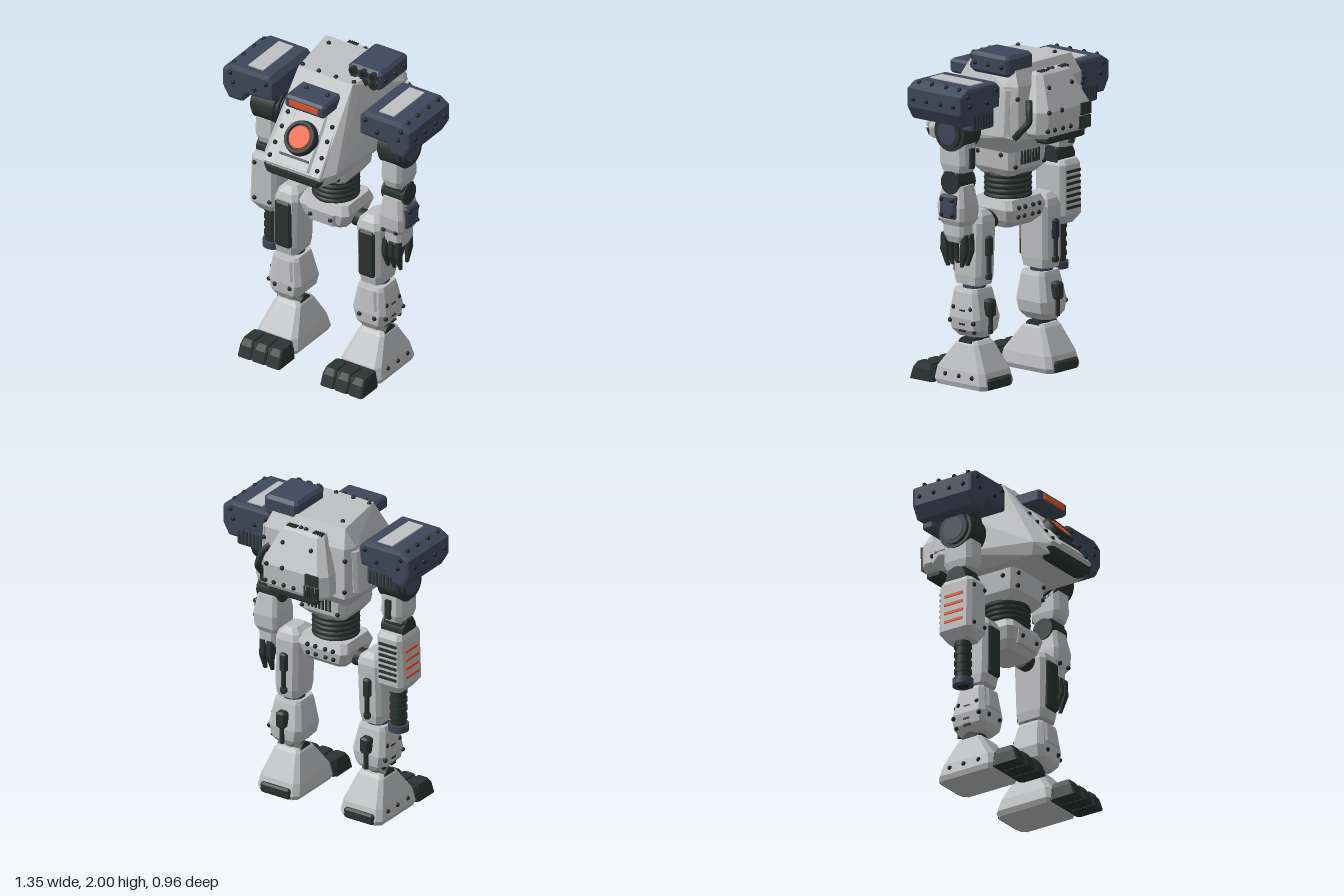
import * as THREE from 'three';
import { ConvexGeometry } from 'three/addons/geometries/ConvexGeometry.js';

const paint = (name, color) => {
  const m = new THREE.MeshStandardMaterial({ color });
  m.name = name;
  return m;
};

export function createModel() {
  const light = paint('lightGreyArmour', 0xbfc0c2), slate = paint('slateBlueArmour', 0x3e485b);
  const dark = paint('darkRubber', 0x2a3331), orange = paint('orangeGlow', 0xe6562a);
  const black = paint('blackRivet', 0x1f2426);
  const root = new THREE.Group();
  root.name = 'walker';

  const group = (name, parent = root) => {
    const g = new THREE.Group();
    g.name = name;
    parent.add(g);
    return g;
  };
  const add = (parent, geo, mat, name, x = 0, y = 0, z = 0) => {
    const m = new THREE.Mesh(geo, mat);
    m.name = name;
    m.position.set(x, y, z);
    parent.add(m);
    return m;
  };
  // faceted solid through chamfered rectangles [y, x0, x1, z0, z1, chamfer]; s mirrors x
  const solid = (parent, mat, name, s, ...sections) => {
    const pts = [];
    for (const [y, x0, x1, z0, z1, c = 0.02] of sections)
      for (const [x, dx] of [[x0, c], [x1, -c]])
        for (const [z, dz] of [[z0, c], [z1, -c]])
          pts.push(new THREE.Vector3(s * (x + dx), y, z), new THREE.Vector3(s * x, y, z + dz));
    return add(parent, new ConvexGeometry(pts), mat, name);
  };
  // box with all edges chamfered
  const block = (parent, mat, name, s, x0, x1, y0, y1, z0, z1, c = 0.02) =>
    solid(parent, mat, name, s, [y0, x0 + c, x1 - c, z0 + c, z1 - c, c * 0.5], [y0 + c, x0, x1, z0, z1, c],
      [y1 - c, x0, x1, z0, z1, c], [y1, x0 + c, x1 - c, z0 + c, z1 - c, c * 0.5]);
  const box = (parent, mat, name, w, h, d, x, y, z) => add(parent, new THREE.BoxGeometry(w, h, d), mat, name, x, y, z);
  const cyl = (parent, mat, name, r0, r1, h, x, y, z, axis = 'y') => {
    const m = add(parent, new THREE.CylinderGeometry(r0, r1, h, 28), mat, name, x, y, z);
    if (axis === 'x') m.rotation.z = Math.PI / 2;
    if (axis === 'z') m.rotation.x = Math.PI / 2;
    return m;
  };
  const rivetGeo = new THREE.SphereGeometry(0.014, 10, 8);
  const rivets = (parent, s, ...list) => list.forEach(([x, y, z]) => add(parent, rivetGeo, black, 'rivet', s * x, y, z));
  const slats = (parent, mat, name, n, size, start, step) => {
    for (let i = 0; i < n; i++) box(parent, mat, name, ...size, ...start.map((v, k) => v + i * step[k]));
  };
  const both = (f) => [1, -1].forEach(f);

  // Torso hull
  const torso = group('torso');
  const hull = [[0.25, 1.93, -0.27], [0.19, 1.93, 0.11], [0.28, 1.82, -0.325], [0.315, 1.82, -0.25],
    [0.16, 1.85, 0.13], [0.22, 1.84, 0.1], [0.335, 1.52, -0.25], [0.285, 1.5, -0.33], [0.25, 1.47, 0.37],
    [0.19, 1.46, 0.455], [0.19, 1.4, 0.44], [0.23, 1.4, 0.34], [0.23, 1.4, -0.22]];
  add(torso, new ConvexGeometry(hull.flatMap(([x, y, z]) => [new THREE.Vector3(x, y, z), new THREE.Vector3(-x, y, z)])), light, 'torsoHull');
  solid(torso, dark, 'chinLip', 1, [1.385, -0.17, 0.17, 0.38, 0.45], [1.405, -0.19, 0.19, 0.37, 0.47], [1.44, -0.205, 0.205, 0.38, 0.472]);
  both((s) => {
    solid(torso, light, 'sidePanel', s, [1.54, 0.3, 0.345, -0.29, -0.18], [1.8, 0.29, 0.33, -0.29, -0.22]);
    rivets(torso, s, [0.185, 1.932, -0.2], [0.18, 1.932, 0.08], [0.19, 1.845, 0.13], [0.06, 1.932, 0.09], [0.285, 1.75, -0.325], [0.285, 1.55, -0.33]);
  });

  // Sloping chest panel with lens
  const chest = group('chestPanel', torso);
  chest.position.set(0, 1.61, 0.33);
  chest.rotation.x = -0.6945;
  solid(chest, light, 'chestPlate', 1, [-0.195, -0.2, 0.2, -0.01, 0.018, 0.008], [0.19, -0.18, 0.18, -0.01, 0.018, 0.008]);
  solid(chest, light, 'innerPlate', 1, [-0.185, -0.12, 0.12, 0, 0.032, 0.012], [0.18, -0.105, 0.105, 0, 0.032, 0.012]);
  both((s) => rivets(chest, s, ...[0.117, 0.026, -0.075, -0.155].map((v) => [0.16 - v * 0.04, v, 0.02])));
  cyl(chest, dark, 'lensHousing', 0.1, 0.11, 0.04, 0, -0.005, 0.04, 'z');
  add(chest, new THREE.TorusGeometry(0.088, 0.014, 8, 32), dark, 'lensRim', 0, -0.005, 0.06);
  cyl(chest, orange, 'lens', 0.066, 0.072, 0.012, 0, -0.005, 0.064, 'z');
  box(chest, dark, 'lensSill', 0.2, 0.014, 0.02, 0, -0.125, 0.035);

  // Visor box
  block(torso, slate, 'visor', 1, -0.14, 0.14, 1.785, 1.87, 0.1, 0.335, 0.015);
  box(torso, orange, 'visorSlit', 0.2, 0.036, 0.009, 0, 1.83, 0.337);
  rivets(torso, 1, [0.08, 1.87, 0.205], [-0.07, 1.87, 0.205]);

  // Rocket launcher on the left of the roof
  const launcher = group('launcher');
  block(launcher, slate, 'launcherBox', 1, 0.087, 0.325, 1.875, 2, -0.28, 0.015);
  for (const x of [0.135, 0.205, 0.275])
    for (const y of [1.965, 1.91]) {
      cyl(launcher, dark, 'launchTube', 0.029, 0.029, 0.03, x, y, 0.012, 'z');
      cyl(launcher, black, 'launchBore', 0.019, 0.019, 0.004, x, y, 0.029, 'z');
    }
  rivets(launcher, 1, [0.325, 1.935, -0.03], [0.325, 1.935, -0.13], [0.325, 1.935, -0.235]);

  // Backpack
  const pack = group('backpack');
  solid(pack, light, 'backpackShell', 1, [1.51, -0.2, 0.2, -0.45, -0.3, 0.03], [1.54, -0.24, 0.23, -0.465, -0.3, 0.05],
    [1.67, -0.235, 0.225, -0.47, -0.3, 0.05], [1.87, -0.15, 0.14, -0.37, -0.28, 0.03], [1.885, -0.14, 0.13, -0.35, -0.28, 0.02]);
  block(pack, dark, 'exhaust', 1, -0.17, 0.17, 1.475, 1.53, -0.455, -0.35, 0.012);
  slats(pack, dark, 'topVent', 5, [0.009, 0.014, 0.035], [-0.135, 1.885, -0.335], [0.014, 0, 0]);
  slats(pack, dark, 'topVent', 5, [0.009, 0.014, 0.035], [0.05, 1.885, -0.335], [0.014, 0, 0]);
  box(pack, dark, 'hatch', 0.09, 0.07, 0.012, -0.15, 1.645, -0.472);
  slats(pack, dark, 'rearVent', 7, [0.009, 0.075, 0.014], [-0.19, 1.565, -0.467], [0.015, 0, 0]);
  rivets(pack, 1, [-0.015, 1.885, -0.33], [0.02, 1.885, -0.33], ...[-0.02, 0.05, 0.12, 0.18].map((x) => [x, 1.56, -0.467]),
    ...[0.06, 0.17].map((x) => [x, 1.67, -0.47]), [0.1, 1.8, -0.405], [-0.1, 1.8, -0.405]);
  const hose = new THREE.CatmullRomCurve3([[0.22, 1.73, -0.355], [0.255, 1.69, -0.385], [0.275, 1.62, -0.4], [0.3, 1.57, -0.365], [0.305, 1.52, -0.32]]
    .map((p) => new THREE.Vector3(...p)));
  add(pack, new THREE.TubeGeometry(hose, 24, 0.02, 10), dark, 'hose');

  // Waist, bellows and pelvis
  const waist = group('waist');
  solid(waist, light, 'abdomen', 1, [1.225, -0.125, 0.125, -0.12, 0.12, 0.03], [1.27, -0.155, 0.155, -0.165, 0.165, 0.03], [1.41, -0.168, 0.168, -0.175, 0.175, 0.03]);
  cyl(waist, dark, 'bellowsCore', 0.125, 0.125, 0.2, 0, 1.15, 0);
  for (let i = 0; i < 5; i++) {
    const ring = add(waist, new THREE.TorusGeometry(0.125, 0.017, 8, 36), dark, 'bellowsRing', 0, 1.09 + i * 0.032, 0);
    ring.rotation.x = Math.PI / 2;
  }
  slats(waist, dark, 'abdomenVent', 7, [0.012, 0.08, 0.016], [-0.075, 1.34, -0.17], [0.025, 0, 0]);
  solid(waist, light, 'pelvis', 1, [0.915, -0.12, 0.12, -0.1, 0.1, 0.03], [0.96, -0.15, 0.15, -0.15, 0.14, 0.03],
    [1.03, -0.175, 0.175, -0.165, 0.155, 0.03], [1.085, -0.155, 0.155, -0.14, 0.13, 0.03]);
  solid(waist, light, 'pelvisPlate', 1, [0.945, -0.09, 0.09, 0.1, 0.155, 0.01], [1.03, -0.1, 0.1, 0.1, 0.17, 0.01]);
  both((s) => {
    cyl(waist, dark, 'hipJoint', 0.056, 0.056, 0.13, s * 0.21, 0.965, 0, 'x');
    rivets(waist, s, [0.125, 1.37, 0.173], [0.125, 1.29, 0.168], [0.165, 1.36, 0.09], [0.165, 1.36, -0.09], [0.07, 0.99, 0.164],
      [0.125, 1.29, -0.168], [0.09, 1.04, -0.164], [0.09, 0.985, -0.158], [0.035, 1.04, -0.164], [0.035, 0.985, -0.158]);
  });

  both((s) => {
    const side = s > 0 ? 'left' : 'right';
    // Shoulder pod
    const pod = group(side + 'ShoulderPod');
    const profile = [[0.325, 1.71], [0.325, 1.805], [0.345, 1.825], [0.59, 1.825], [0.64, 1.795], [0.64, 1.7], [0.605, 1.64], [0.535, 1.64], [0.5, 1.7]];
    const shape = new THREE.Shape(profile.map(([x, y]) => new THREE.Vector2(s * x, y)));
    const podGeo = new THREE.ExtrudeGeometry(shape, { depth: 0.38, bevelSize: 0.02, bevelThickness: 0.022, bevelSegments: 2 });
    add(pod, podGeo, slate, 'podShell', 0, 0, -0.19);
    box(pod, light, 'podTopPlate', 0.105, 0.009, 0.32, s * 0.46, 1.847, -0.005);
    block(pod, slate, 'podRearVent', s, 0.36, 0.56, 1.58, 1.74, -0.21, -0.13, 0.01);
    slats(pod, dark, 'podVentSlat', 7, [0.012, 0.08, 0.012], [s * 0.385, 1.635, -0.209], [s * 0.025, 0, 0]);
    for (const z of [-0.155, -0.055, 0.055, 0.155]) rivets(pod, s, [0.61, 1.838, z], [0.66, 1.745, z]);
    for (const z of [-0.212, 0.212]) rivets(pod, s, [0.35, 1.8, z], [0.43, 1.74, z], [0.58, 1.74, z], [0.6, 1.8, z]);

    // Shoulder joint, upper arm and elbow
    const arm = group(side + 'Arm');
    solid(arm, dark, 'shoulderMount', s, [1.5, 0.355, 0.53, -0.09, 0.09], [1.62, 0.355, 0.53, -0.09, 0.09], [1.72, 0.38, 0.5, -0.08, 0.08]);
    cyl(arm, dark, 'shoulderJoint', 0.115, 0.115, 0.15, s * 0.445, 1.545, 0, 'x');
    cyl(arm, dark, 'shoulderRim', 0.095, 0.095, 0.19, s * 0.445, 1.545, 0, 'x');
    cyl(arm, slate, 'shoulderCap', 0.07, 0.07, 0.2, s * 0.445, 1.545, 0, 'x');
    solid(arm, light, 'upperArm', s, [1.305, 0.38, 0.505, -0.085, 0.085, 0.025], [1.35, 0.37, 0.515, -0.1, 0.1, 0.025], [1.475, 0.37, 0.515, -0.095, 0.095, 0.025]);
    box(arm, dark, 'upperArmRod', 0.035, 0.12, 0.02, s * 0.44, 1.39, -0.105);
    cyl(arm, dark, 'elbowJoint', 0.068, 0.068, 0.155, s * 0.44, 1.24, 0, 'x');
    block(arm, dark, 'elbowBlock', s, 0.37, 0.515, 1.2, 1.305, -0.06, 0.06, 0.012);

    // Leg: thigh, shin, ankle, foot
    const leg = group(side + 'Leg');
    solid(leg, light, 'thigh', s, [0.605, 0.225, 0.37, -0.09, 0.1, 0.025], [0.66, 0.218, 0.375, -0.1, 0.11, 0.025],
      [0.98, 0.208, 0.37, -0.105, 0.115, 0.025], [1.02, 0.215, 0.36, -0.09, 0.1, 0.03], [1.05, 0.25, 0.33, -0.06, 0.06]);
    block(leg, dark, 'thighPlate', s, 0.238, 0.348, 0.66, 0.97, 0.08, 0.13, 0.012);
    block(leg, dark, 'thighPistonSleeve', s, 0.27, 0.32, 0.78, 0.9, -0.128, -0.09, 0.01);
    cyl(leg, dark, 'thighPistonRod', 0.014, 0.014, 0.2, s * 0.295, 0.74, -0.112);
    block(leg, dark, 'thighPistonFoot', s, 0.275, 0.315, 0.64, 0.68, -0.125, -0.09, 0.008);
    cyl(leg, slate, 'kneeRing', 0.068, 0.068, 0.05, s * 0.297, 0.592, 0);
    solid(leg, light, 'shin', s, [0.295, 0.235, 0.36, -0.09, 0.09, 0.03], [0.34, 0.195, 0.4, -0.115, 0.115, 0.03],
      [0.41, 0.18, 0.412, -0.12, 0.12, 0.03], [0.56, 0.205, 0.39, -0.085, 0.1, 0.025], [0.583, 0.215, 0.38, -0.075, 0.09]);
    solid(leg, light, 'shinPlate', s, [0.44, 0.225, 0.365, 0.08, 0.128, 0.012], [0.565, 0.24, 0.35, 0.07, 0.112, 0.012]);
    slats(leg, dark, 'shinVent', 4, [0.012, 0.012, 0.045], [s * 0.403, 0.335, 0], [-s * 0.001, 0.04, 0]);
    block(leg, dark, 'shinPiston', s, 0.265, 0.33, 0.42, 0.525, -0.15, -0.09, 0.012);
    cyl(leg, dark, 'shinPistonRod', 0.014, 0.014, 0.12, s * 0.297, 0.38, -0.125);
    rivets(leg, s, [0.245, 0.39, 0.12], [0.35, 0.39, 0.12], [0.41, 0.39, 0.09], [0.41, 0.39, -0.09], [0.4, 0.47, 0.07], [0.4, 0.47, -0.06], [0.39, 0.335, -0.08]);
    cyl(leg, dark, 'ankle', 0.055, 0.055, 0.165, s * 0.297, 0.242, 0, 'x');
    cyl(leg, dark, 'anklePost', 0.055, 0.055, 0.08, s * 0.297, 0.28, 0);
    solid(leg, light, 'foot', s, [0, 0.16, 0.43, -0.185, 0.2, 0.03], [0.03, 0.145, 0.44, -0.195, 0.21, 0.03],
      [0.1, 0.155, 0.43, -0.175, 0.195, 0.03], [0.25, 0.205, 0.385, -0.09, 0.085], [0.27, 0.22, 0.37, -0.07, 0.065]);
    solid(leg, dark, 'toeBase', s, [0.002, 0.15, 0.435, 0.2, 0.375, 0.01], [0.095, 0.165, 0.42, 0.2, 0.33, 0.01]);
    for (let i = 0; i < 3; i++) {
      const x = 0.142 + i * 0.1;
      solid(leg, dark, 'toe', s, [0, x, x + 0.096, 0.215, 0.385, 0.01], [0.07, x + 0.003, x + 0.093, 0.215, 0.362, 0.01],
        [0.106, x + 0.012, x + 0.084, 0.22, 0.335, 0.01]);
    }
    block(leg, dark, 'heel', s, 0.19, 0.4, 0.003, 0.07, -0.205, -0.15, 0.012);
    rivets(leg, s, ...[-0.1, 0, 0.105].map((z) => [0.433, 0.07, z]));
  });

  // Left forearm and hand
  const hand = group('leftForearm');
  solid(hand, light, 'forearm', 1, [0.985, 0.375, 0.505, -0.08, 0.08], [1.02, 0.36, 0.522, -0.1, 0.1], [1.1, 0.36, 0.525, -0.105, 0.105], [1.225, 0.375, 0.505, -0.08, 0.08]);
  block(hand, slate, 'wristBox', 1, 0.5, 0.543, 1.03, 1.17, -0.06, 0.06, 0.01);
  rivets(hand, 1, ...[1.055, 1.145].flatMap((y) => [[0.543, y, 0.04], [0.543, y, -0.04]]), [0.4, 1.01, 0.098], [0.485, 1.01, 0.098]);
  solid(hand, light, 'palm', 1, [0.88, 0.4, 0.485, -0.06, 0.06], [0.92, 0.385, 0.5, -0.08, 0.08], [0.99, 0.385, 0.5, -0.08, 0.08]);
  const finger = (x, z, d) => solid(hand, dark, 'finger', 1, [0.735, x - 0.01, x + 0.01, z - d - 0.01, z - d + 0.01, 0.004],
    [0.83, x - 0.018, x + 0.018, z - 0.025, z + 0.025, 0.006], [0.93, x - 0.017, x + 0.017, z - 0.02, z + 0.02, 0.006]);
  for (const x of [0.395, 0.44, 0.483]) finger(x, 0.068, 0.025);
  for (const x of [0.415, 0.465]) finger(x, -0.07, -0.02);

  // Right forearm cannon
  const gun = group('rightCannon');
  solid(gun, light, 'cannonHousing', -1, [0.845, 0.385, 0.5, -0.08, 0.08], [0.9, 0.355, 0.54, -0.115, 0.115, 0.025],
    [1.2, 0.355, 0.53, -0.115, 0.115, 0.025], [1.23, 0.37, 0.515, -0.095, 0.095]);
  slats(gun, dark, 'coolingSlat', 7, [0.12, 0.016, 0.016], [-0.445, 0.945, -0.114], [0, 0.036, 0]);
  slats(gun, orange, 'heatSlat', 4, [0.016, 0.016, 0.13], [-0.536, 0.955, 0], [0.0015, 0.055, 0]);
  for (const y of [0.93, 1.17]) rivets(gun, -1, [0.39, y, 0.115], [0.495, y, 0.115]);
  cyl(gun, dark, 'barrel', 0.046, 0.046, 0.26, -0.442, 0.73, 0);
  for (const y of [0.82, 0.765, 0.71, 0.655]) cyl(gun, dark, 'barrelRing', 0.053, 0.053, 0.022, -0.442, y, 0);
  cyl(gun, slate, 'muzzle', 0.062, 0.062, 0.042, -0.442, 0.587, 0);
  cyl(gun, black, 'bore', 0.035, 0.035, 0.006, -0.442, 0.565, 0);
  return root;
}
